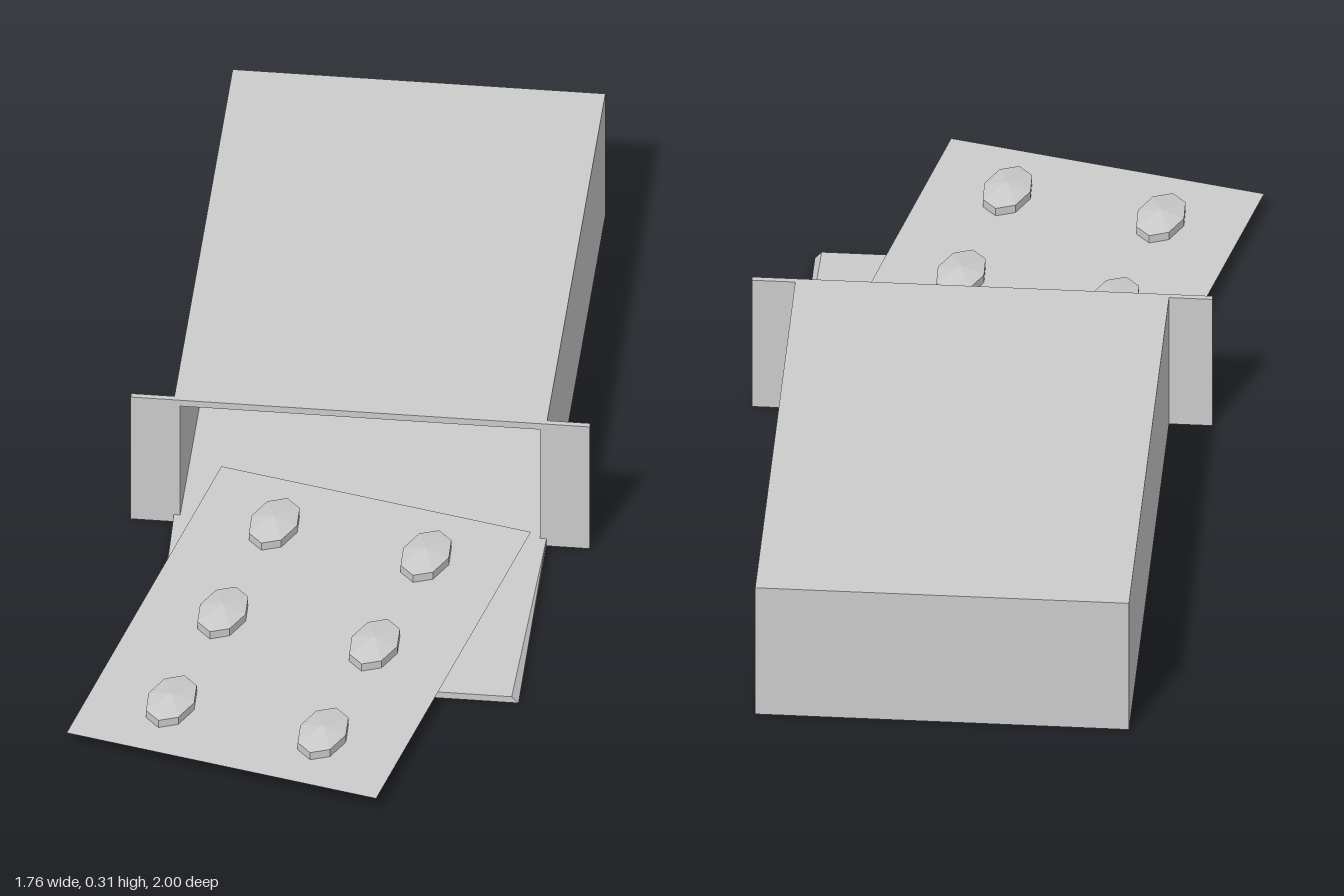
import * as THREE from 'three';

const W = 0.76, H = 0.31, L = 1.114, T = 0.013;

function rect(shape, x0, y0, x1, y1) {
  shape.moveTo(x0, y0).lineTo(x1, y0).lineTo(x1, y1).lineTo(x0, y1).closePath();
  return shape;
}

export function createModel() {
  const model = new THREE.Group();
  const mat = new THREE.MeshStandardMaterial({ color: 0xcccccc, flatShading: true, side: THREE.DoubleSide });
  const add = (parent, name, geo, x = 0, y = 0, z = 0) => {
    const mesh = new THREE.Mesh(geo, mat);
    mesh.name = name;
    mesh.position.set(x, y, z);
    parent.add(mesh);
    return mesh;
  };

  // Carton: local z = 0 is the open end, the closed end is at -L
  const carton = new THREE.Group();
  carton.name = 'carton';
  carton.position.set(-0.036, 0, 0.142);
  carton.rotation.y = -0.555;
  model.add(carton);

  const profile = rect(new THREE.Shape(), -W / 2, 0, W / 2, H);
  profile.holes.push(rect(new THREE.Path(), -W / 2 + T, 0.018, W / 2 - T, H - 0.015));
  add(carton, 'sleeve', new THREE.ExtrudeGeometry(profile, { depth: L, bevelEnabled: false }), 0, 0, -L);
  const backDepth = 0.125;
  add(carton, 'closedEnd', new THREE.BoxGeometry(W - 2 * T, H - 0.033, backDepth),
    0, 0.018 + (H - 0.033) / 2, -L + backDepth / 2);

  // Side flaps folded out flat at the opening
  for (const s of [-1, 1]) {
    add(carton, s > 0 ? 'leftFlap' : 'rightFlap', new THREE.BoxGeometry(0.088, H, 0.012),
      s * (W / 2 + 0.044), H / 2, -0.006);
  }

  // Bottom flap, with the upper face narrowing towards the tip
  const flapLength = 0.53;
  const flapGeo = new THREE.BoxGeometry(W, 0.018, flapLength);
  const p = flapGeo.attributes.position;
  for (let i = 0; i < p.count; i++) {
    if (p.getY(i) > 0 && p.getZ(i) > 0) {
      p.setX(i, p.getX(i) - Math.sign(p.getX(i)) * 0.014);
      p.setY(i, p.getY(i) - 0.003);
    }
  }
  add(carton, 'bottomFlap', flapGeo, 0, 0.009, flapLength / 2);

  // Blister pack: thin sheet with hollow cups pressed upwards
  const blister = new THREE.Group();
  blister.name = 'blisterPack';
  blister.position.set(-0.312, 0.036, 0.429);
  blister.rotation.y = -Math.PI / 4;
  model.add(blister);

  const a = 0.08, b = 0.049, wall = 0.018;
  const sheet = rect(new THREE.Shape(), -0.3325, -0.4735, 0.3325, 0.4735);
  for (const x of [-0.163, 0.163]) {
    for (const z of [-0.315, 0, 0.315]) {
      const hole = [];
      for (let i = 0; i < 8; i++) {
        const t = i * Math.PI / 4;
        hole.push(new THREE.Vector2(x + b * Math.sin(t), -z + a * Math.cos(t)));
      }
      sheet.holes.push(new THREE.Path(hole));
      // Eight-sided cup with a low pointed top
      const cup = new THREE.LatheGeometry([
        new THREE.Vector2(1, 0), new THREE.Vector2(1, wall), new THREE.Vector2(0, wall + 0.012),
      ], 8);
      cup.scale(b, 1, a);
      add(blister, 'pillCup', cup, x, 0, z);
    }
  }
  add(blister, 'blisterSheet', new THREE.ShapeGeometry(sheet).rotateX(-Math.PI / 2));

  return model;
}
